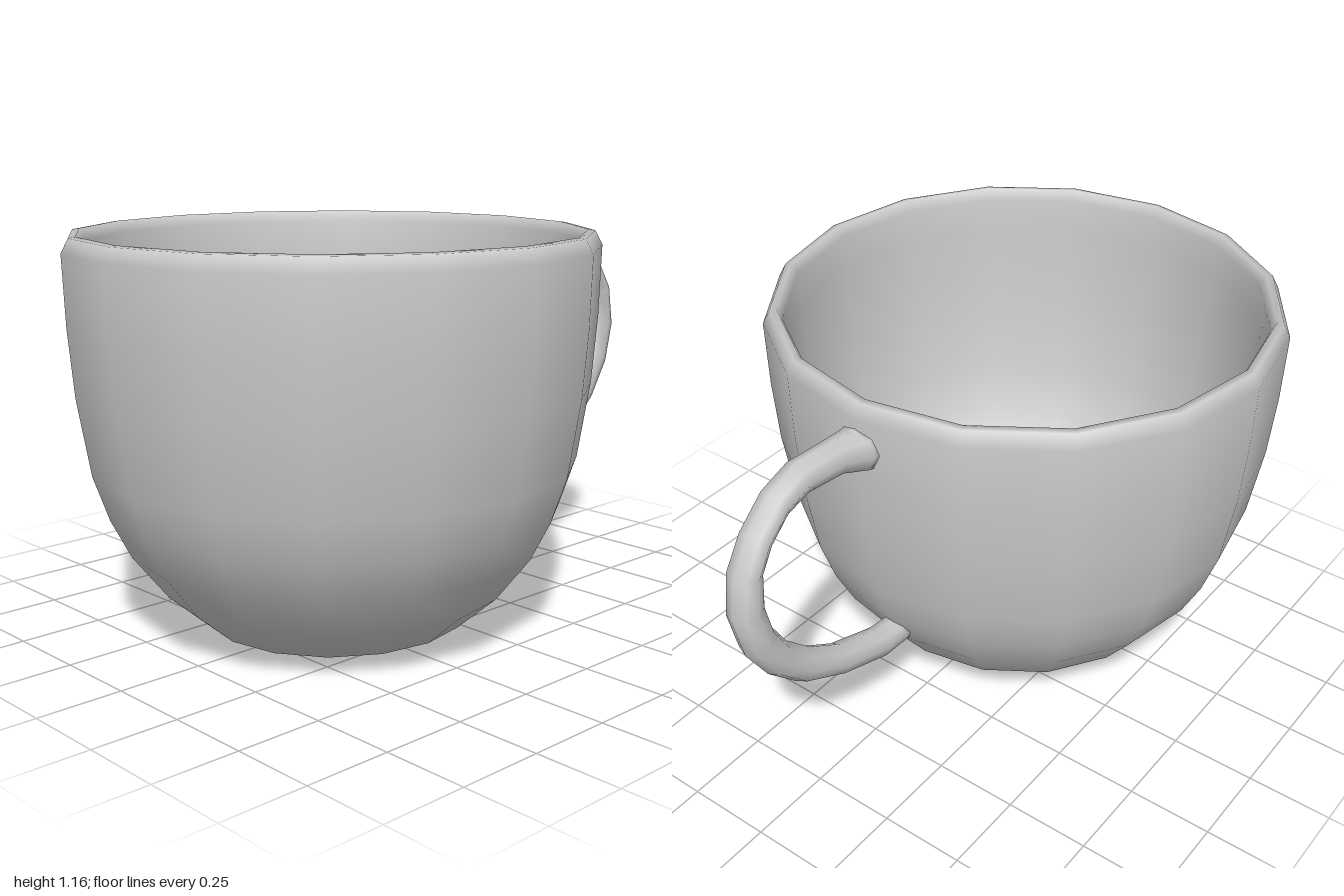
import * as THREE from 'three';

const CUP_X = -0.245;
const material = new THREE.MeshStandardMaterial({ color: 0xcccccc });

// Sixteen-sided bowl: outside from base to rim, then down the inner wall
function makeBowl() {
  const profile = [
    [0, 0], [0.255, 0.003], [0.385, 0.038], [0.5, 0.138], [0.6, 0.268], [0.656, 0.38],
    [0.7, 0.51], [0.735, 0.73], [0.75, 0.92], [0.756, 1.12], [0.735, 1.16],
    [0.715, 1.163], [0.7, 1.13], [0.696, 1.03],
    [0.688, 0.9], [0.674, 0.73], [0.64, 0.53], [0.6, 0.41], [0.545, 0.305],
    [0.455, 0.19], [0.35, 0.1], [0.24, 0.065], [0, 0.06],
  ].map(([r, y]) => new THREE.Vector2(r, y));
  const bowl = new THREE.Mesh(new THREE.LatheGeometry(profile, 16), material);
  bowl.name = 'bowl';
  bowl.position.x = CUP_X;
  return bowl;
}

// Handle: eight-sided rings, each spanning an outer and an inner point of the loop
function makeHandle() {
  const sides = 8;
  // outer x, outer y, inner x, inner y, half width in z
  const rings = [
    [0.48, 1.095, 0.48, 0.955, 0.07], [0.515, 1.09, 0.515, 0.965, 0.066],
    [0.6, 1.1, 0.6, 1.002, 0.05], [0.73, 1.108, 0.725, 1.018, 0.048],
    [0.83, 1.073, 0.8, 1.0, 0.048], [0.92, 0.995, 0.862, 0.945, 0.048],
    [0.978, 0.9, 0.9, 0.885, 0.05], [1, 0.77, 0.905, 0.79, 0.05],
    [0.97, 0.64, 0.882, 0.69, 0.05], [0.9, 0.525, 0.825, 0.59, 0.05],
    [0.805, 0.428, 0.74, 0.505, 0.05], [0.65, 0.343, 0.62, 0.428, 0.048],
    [0.47, 0.279, 0.455, 0.37, 0.047], [0.365, 0.276, 0.4, 0.362, 0.047],
    [0.34, 0.278, 0.375, 0.36, 0.045],
  ];
  const positions = [];
  const index = [];
  rings.forEach(([ox, oy, ix, iy, w], i) => {
    for (let j = 0; j < sides; j++) {
      const a = (j / sides) * Math.PI * 2;
      const t = (1 - Math.cos(a)) / 2;
      positions.push(ox + (ix - ox) * t, oy + (iy - oy) * t, 0.005 + w * Math.sin(a));
      if (i < rings.length - 1) {
        const p = i * sides + j;
        const q = i * sides + ((j + 1) % sides);
        index.push(p, q, p + sides, q, q + sides, p + sides);
      }
    }
  });
  // End caps, buried in the bowl wall
  const last = (rings.length - 1) * sides;
  for (let j = 1; j < sides - 1; j++) {
    index.push(0, j + 1, j, last, last + j, last + j + 1);
  }
  const geometry = new THREE.BufferGeometry();
  geometry.setAttribute('position', new THREE.Float32BufferAttribute(positions, 3));
  geometry.setIndex(index);
  geometry.computeVertexNormals();
  const handle = new THREE.Mesh(geometry, material);
  handle.name = 'handle';
  return handle;
}

export function createModel() {
  const cup = new THREE.Group();
  cup.name = 'cup';
  cup.add(makeBowl(), makeHandle());
  return cup;
}
